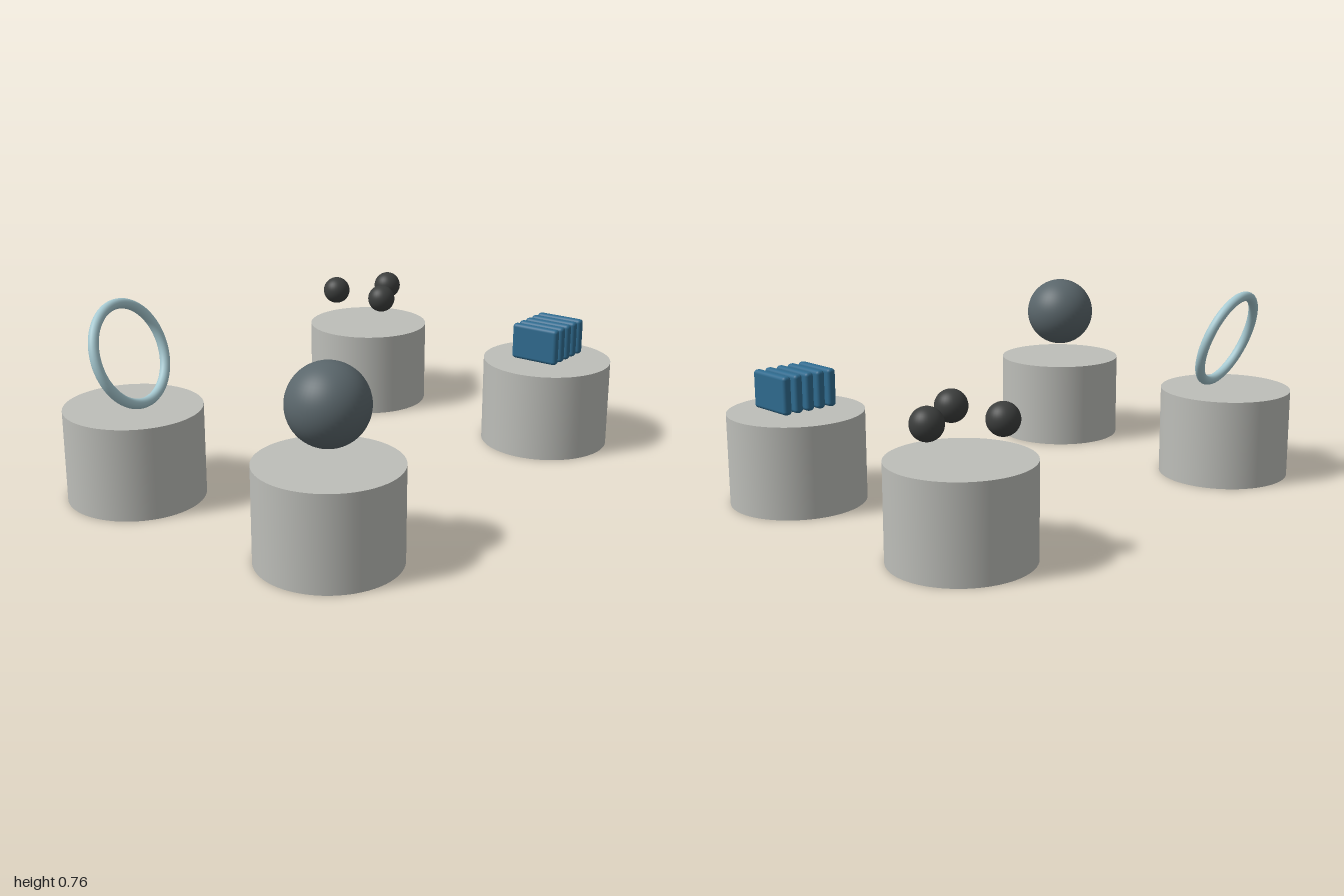
import * as THREE from 'three';
import { RoundedBoxGeometry } from 'three/addons/geometries/RoundedBoxGeometry.js';

const material = (name, color) => {
  const m = new THREE.MeshStandardMaterial({ color });
  m.name = name;
  return m;
};

export function createModel() {
  const model = new THREE.Group();
  model.name = 'pedestalDisplay';

  const stone = material('stone grey', 0xbdbeb9);
  const slate = material('slate', 0x5a666b);
  const charcoal = material('charcoal', 0x3c3e3d);
  const blue = material('deep blue', 0x2f6b8f);
  const paleBlue = material('pale blue', 0xa6c9d1);

  const X = 0.737, Z = 0.468, R = 0.263, H = 0.355;

  const add = (parent, name, geometry, mat, x, y, z) => {
    const mesh = new THREE.Mesh(geometry, mat);
    mesh.name = name;
    mesh.position.set(x, y, z);
    parent.add(mesh);
    return mesh;
  };

  // A display group whose origin is the centre of its pedestal's top
  const pedestalGeometry = new THREE.CylinderGeometry(R, R, H, 64);
  const display = (name, sx, sz) => {
    const group = new THREE.Group();
    group.name = name;
    group.position.set(sx * X, H, sz * Z);
    add(group, 'pedestal', pedestalGeometry, stone, 0, -H / 2, 0);
    model.add(group);
    return group;
  };

  // Large sphere, front right
  const sphereDisplay = display('sphereDisplay', -1, 1);
  add(sphereDisplay, 'largeSphere', new THREE.SphereGeometry(0.147, 48, 32), slate, 0, 0.206, 0);

  // Row of upright rounded plates, front left
  const plateDisplay = display('plateDisplay', 1, 1);
  const plateGeometry = new RoundedBoxGeometry(0.035, 0.148, 0.205, 4, 0.014);
  for (let i = -2; i <= 2; i++) {
    add(plateDisplay, 'plate', plateGeometry, blue, i * 0.051, 0.088, 0);
  }

  // Tilted ring, back right
  const ringDisplay = display('ringDisplay', -1, -1);
  const ring = add(ringDisplay, 'ring', new THREE.TorusGeometry(0.19, 0.0195, 20, 80), paleBlue, 0, 0.206, 0);
  ring.rotation.set(-0.35, 0.15, 0);

  // Three small floating spheres, back left
  const trioDisplay = display('trioDisplay', 1, -1);
  const smallGeometry = new THREE.SphereGeometry(0.059, 32, 24);
  for (let i = 0; i < 3; i++) {
    const a = (i * Math.PI * 2) / 3;
    add(trioDisplay, 'smallSphere', smallGeometry, charcoal, 0.147 * Math.cos(a), 0.147, 0.147 * Math.sin(a));
  }

  return model;
}
